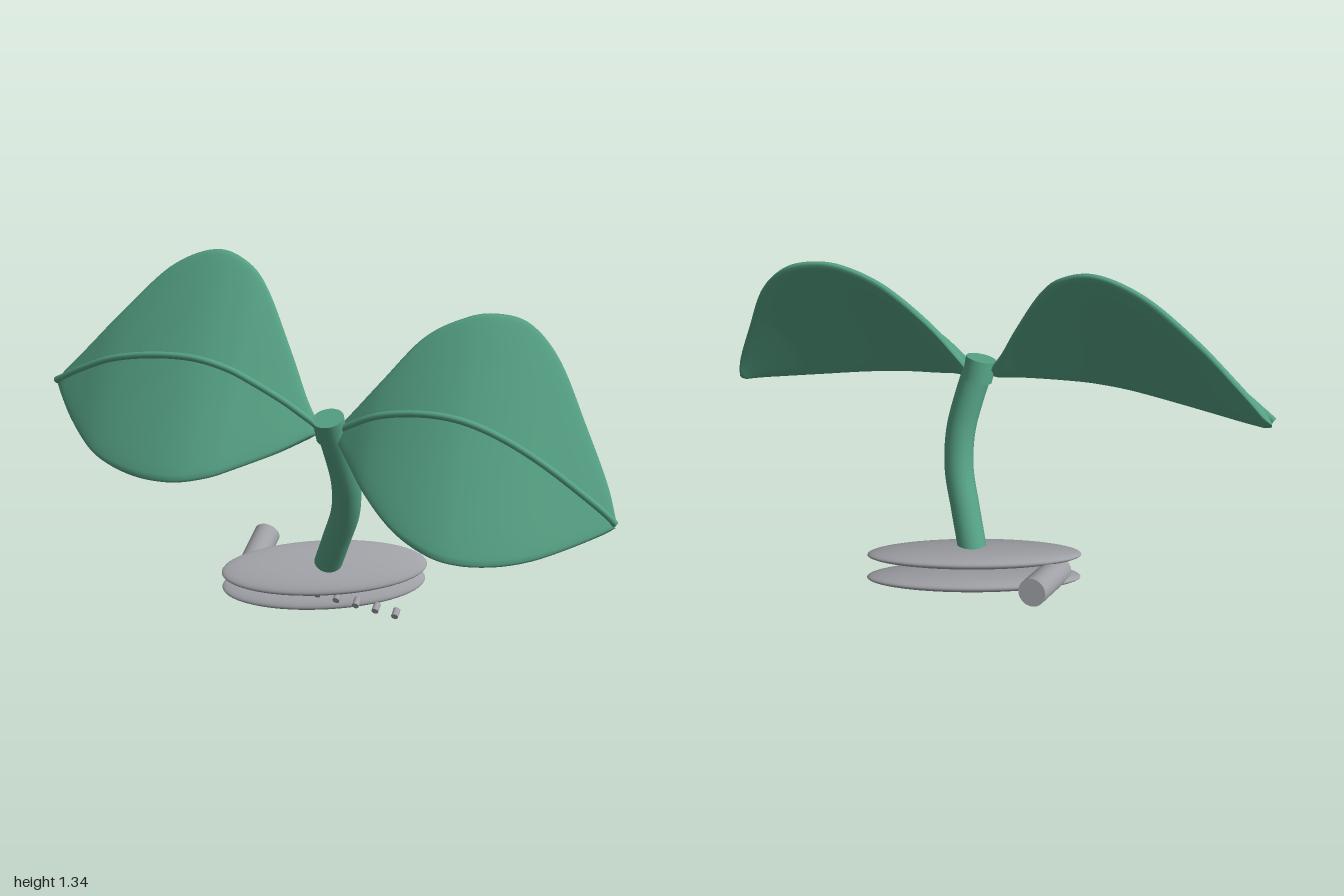
import * as THREE from 'three';

const green = new THREE.MeshStandardMaterial({ name: 'leaf green', color: 0x56a386 });
const grey = new THREE.MeshStandardMaterial({ name: 'base grey', color: 0xa0a2a7 });
const LEAN = 0.39; // forward drift per unit of height, shared by stem and leaf ribs
const V = (x, y, z) => new THREE.Vector3(x, y, z);

function add(group, name, geometry, material) {
  const mesh = new THREE.Mesh(geometry, material);
  mesh.name = name;
  group.add(mesh);
  return mesh;
}

// Cylinder between two points
function rod(group, name, a, b, radius, material) {
  const mesh = add(group, name, new THREE.CylinderGeometry(radius, radius, a.distanceTo(b), 32), material);
  mesh.position.copy(a).add(b).multiplyScalar(0.5);
  mesh.quaternion.setFromUnitVectors(V(0, 1, 0), b.clone().sub(a).normalize());
  return mesh;
}

// Leaf blade: rounded thin section swept from stem to tip.
// Each station is [x, rib height, upper edge height, lower edge height].
function leaf(name, stations, ribHeight, ribZ) {
  const group = new THREE.Group();
  group.name = name;
  const zOf = (y) => ribZ + (y - ribHeight) * LEAN;
  const edge = (k) => new THREE.CatmullRomCurve3(
    stations.map((s) => V(s[0], s[k], zOf(s[1]) - 0.61 * (s[k] - s[1]))), false, 'catmullrom', 0.5);
  const [rib, upper, lower] = [edge(1), edge(2), edge(3)];
  const N = 64, M = 32, pos = [], idx = [];
  const flip = stations[0][0] > stations[stations.length - 1][0];
  const soft = (v, p) => Math.sign(v) * Math.pow(Math.abs(v), p);

  for (let i = 0; i <= N; i++) {
    const u = i / N, top = upper.getPoint(u), bottom = lower.getPoint(u);
    const height = top.distanceTo(bottom);
    const half = 0.016 * Math.min(1, height / 0.08);
    for (let k = 0; k < M; k++) {
      const a = (k / M) * Math.PI * 2;
      const p = bottom.clone().lerp(top, 0.5 + 0.5 * soft(Math.cos(a), 0.7));
      const off = half * soft(Math.sin(a), 0.4);
      pos.push(p.x, p.y + off * 0.52, p.z + off * 0.85);
    }
  }
  for (let i = 0; i < N; i++) {
    for (let k = 0; k < M; k++) {
      const a = i * M + k, b = i * M + (k + 1) % M, c = a + M, d = b + M;
      if (flip) idx.push(a, c, b, b, c, d);
      else idx.push(a, b, c, b, d, c);
    }
  }
  const blade = new THREE.BufferGeometry();
  blade.setAttribute('position', new THREE.Float32BufferAttribute(pos, 3));
  blade.setIndex(idx);
  blade.computeVertexNormals();
  add(group, 'leafBlade', blade, green);

  // Raised centre rib on the front face
  const ribPoints = rib.getPoints(30).map((p) => p.add(V(0, 0.008, 0.014)));
  add(group, 'leafRib', new THREE.TubeGeometry(new THREE.CatmullRomCurve3(ribPoints), 60, 0.012, 10), green);
  const tip = ribPoints[30], before = ribPoints[29];
  rod(group, 'leafTip', before, tip, 0.012, green);
  return group;
}

export function createModel() {
  const model = new THREE.Group();
  model.name = 'sproutOnBase';

  // Base: two flattened oval plates, one above the other
  const long = V(0.893, 0, -0.449).normalize();
  const normal = V(0.19, 0.907, 0.376).normalize();
  const short = long.clone().cross(normal).normalize();
  [['upperPlate', V(-0.075, 0.15, -0.165)], ['lowerPlate', V(-0.09, 0.075, -0.2)]].forEach(([name, c]) => {
    const plate = new THREE.SphereGeometry(1, 64, 32);
    plate.scale(0.387, 0.036, 0.133);
    plate.applyMatrix4(new THREE.Matrix4().makeBasis(long, normal, short));
    add(model, name, plate, grey).position.copy(c);
  });

  // Side knob leaning out behind the plates
  rod(model, 'sideKnob', V(-0.36, 0.1, -0.055), V(-0.36, 0.2, -0.294), 0.05, grey);

  // Row of small pegs
  for (let i = 0; i < 7; i++) {
    const t = i / 6;
    const c = V(-0.23 + 0.443 * t, 0.1 - 0.075 * t, -0.093 - 0.032 * t);
    const h = V(0, 0.007, -0.016);
    rod(model, 'peg', c.clone().sub(h), c.clone().add(h), 0.013, grey);
  }

  // Curved stem with a short cap
  const stem = [[-0.065, 0.165], [-0.01, 0.3], [0.04, 0.43], [0.058, 0.56], [0.045, 0.7], [0.028, 0.8]]
    .map(([x, y]) => V(x, y, -0.157 + (y - 0.17) * LEAN));
  add(model, 'stem', new THREE.TubeGeometry(new THREE.CatmullRomCurve3(stem), 48, 0.052, 24), green);
  rod(model, 'stemCap', V(0.031, 0.745, 0.067), V(0.027, 0.818, 0.096), 0.054, green);

  // Leaves
  model.add(leaf('leftLeaf', [
    [0.05, 0.76, 0.775, 0.74], [0.1, 0.79, 0.83, 0.7], [0.2, 0.838, 0.95, 0.615],
    [0.32, 0.862, 1.09, 0.53], [0.44, 0.862, 1.155, 0.476], [0.54, 0.838, 1.172, 0.452],
    [0.65, 0.785, 1.14, 0.443], [0.755, 0.715, 1.025, 0.448], [0.86, 0.63, 0.82, 0.468],
    [0.945, 0.555, 0.64, 0.49], [0.985, 0.512, 0.525, 0.503],
  ], 0.86, 0.108));
  model.add(leaf('rightLeaf', [
    [-0.01, 0.78, 0.785, 0.76], [-0.06, 0.82, 0.875, 0.737], [-0.125, 0.87, 1.015, 0.71],
    [-0.23, 0.935, 1.215, 0.675], [-0.31, 0.975, 1.305, 0.652], [-0.425, 1.002, 1.343, 0.637],
    [-0.575, 1.0, 1.285, 0.645], [-0.735, 0.972, 1.13, 0.685], [-0.87, 0.92, 0.99, 0.76],
    [-0.99, 0.862, 0.872, 0.854],
  ], 1.01, 0.175));
  return model;
}
